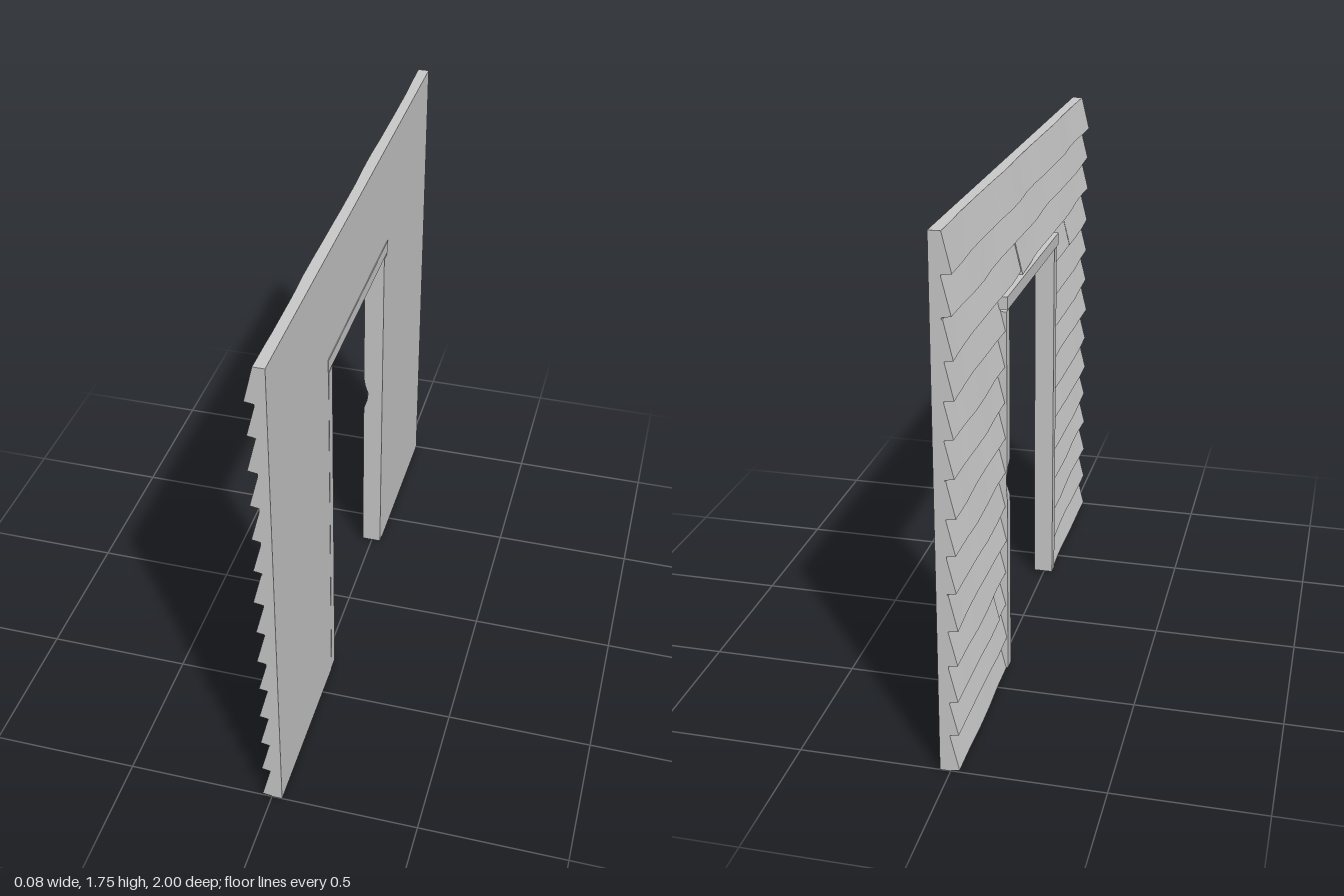
import * as THREE from 'three';

const material = new THREE.MeshStandardMaterial({ color: 0xcccccc });
const ROWS = 14, PITCH = 0.125, HEIGHT = 1.75, DOOR = 0.383;

// Small seeded generator for the hand-hewn irregularity
let seed = 7;
const rand = () => {
  seed = (seed * 16807) % 2147483647;
  return seed / 2147483647 - 0.5;
};

function add(group, name, geometry) {
  const mesh = new THREE.Mesh(geometry, material);
  mesh.name = name;
  group.add(mesh);
  return mesh;
}

// Weatherboard from z0 to z1: lower edge stands proud, upper edge tucks in
function board(row, z0, z1, tilt = 0) {
  const length = z1 - z0;
  const g = new THREE.BoxGeometry(1, 1, length, 1, 1, Math.max(2, Math.round(length / 0.12)));
  const p = g.attributes.position;
  const phase = rand() * 12, lift = rand() * 0.004;
  for (let i = 0; i < p.count; i++) {
    const outer = p.getX(i) < 0, top = p.getY(i) > 0;
    const z = p.getZ(i) + (z0 + z1) / 2;
    const wave = Math.sin(z * 9 + phase) * 0.002 + Math.sin(z * 17 + phase * 2) * 0.001;
    let x = outer ? (top ? -0.001 : -0.03) : 0.008;
    let y = row * PITCH + (top ? PITCH : outer ? 0.007 : 0.001);
    if (outer) x += wave;
    if (!top && row > 0) y += wave + lift;
    if (row > 0 && row < ROWS - 1) y += tilt * p.getZ(i);
    p.setXYZ(i, x, y, z);
  }
  g.computeVertexNormals();
  return g;
}

// Door post with a chip worn out of its outer edge on the opening side
function post(side, chipY) {
  const g = new THREE.BoxGeometry(0.071, 1.31, 0.042, 1, 40, 1);
  g.translate(0.0005, 0.665, side * 0.363);
  const p = g.attributes.position;
  for (let i = 0; i < p.count; i++) {
    if (chipY === undefined || p.getX(i) > 0) continue;
    const d = Math.max(0, 1 - Math.abs(p.getY(i) - chipY) / 0.06);
    const inside = Math.abs(p.getZ(i)) < 0.36;
    p.setX(i, p.getX(i) + d * (inside ? 0.02 : 0.004));
  }
  g.computeVertexNormals();
  return g;
}

export function createModel() {
  const model = new THREE.Group();
  model.name = 'doorwayWall';

  // Flat backing panel with the doorway cut up from the floor
  const outline = new THREE.Shape([
    [-1, 0], [-DOOR, 0], [-DOOR, 1.374], [DOOR, 1.374], [DOOR, 0],
    [1, 0], [1, HEIGHT], [-1, HEIGHT],
  ].map(([x, y]) => new THREE.Vector2(x, y)));
  const panel = new THREE.ExtrudeGeometry(outline, { depth: 0.035, bevelEnabled: false });
  panel.rotateY(Math.PI / 2);
  add(model, 'wallPanel', panel);

  // Overlapping boards, interrupted by the doorway and by a few butt joints
  const siding = new THREE.Group();
  siding.name = 'siding';
  model.add(siding);
  const joints = { 2: -0.48, 10: 0.64, 11: -0.15 };
  for (let row = 0; row < ROWS; row++) {
    const spans = row < 11 ? [[-1, -DOOR], [DOOR, 1]] : [[-1, 1]];
    for (const [a, b] of spans) {
      const cut = joints[row];
      if (cut > a && cut < b) {
        add(siding, 'board', board(row, a, cut - 0.004, 0.012));
        add(siding, 'board', board(row, cut + 0.004, b, 0.012));
      } else {
        add(siding, 'board', board(row, a, b, rand() * 0.008));
      }
    }
  }

  // Door frame
  const frame = new THREE.Group();
  frame.name = 'doorFrame';
  model.add(frame);
  add(frame, 'leftPost', post(1));
  add(frame, 'rightPost', post(-1, 0.72));
  add(frame, 'lintel', new THREE.BoxGeometry(0.077, 0.044, 0.78)).position.set(-0.0015, 1.35, 0);

  return model;
}
